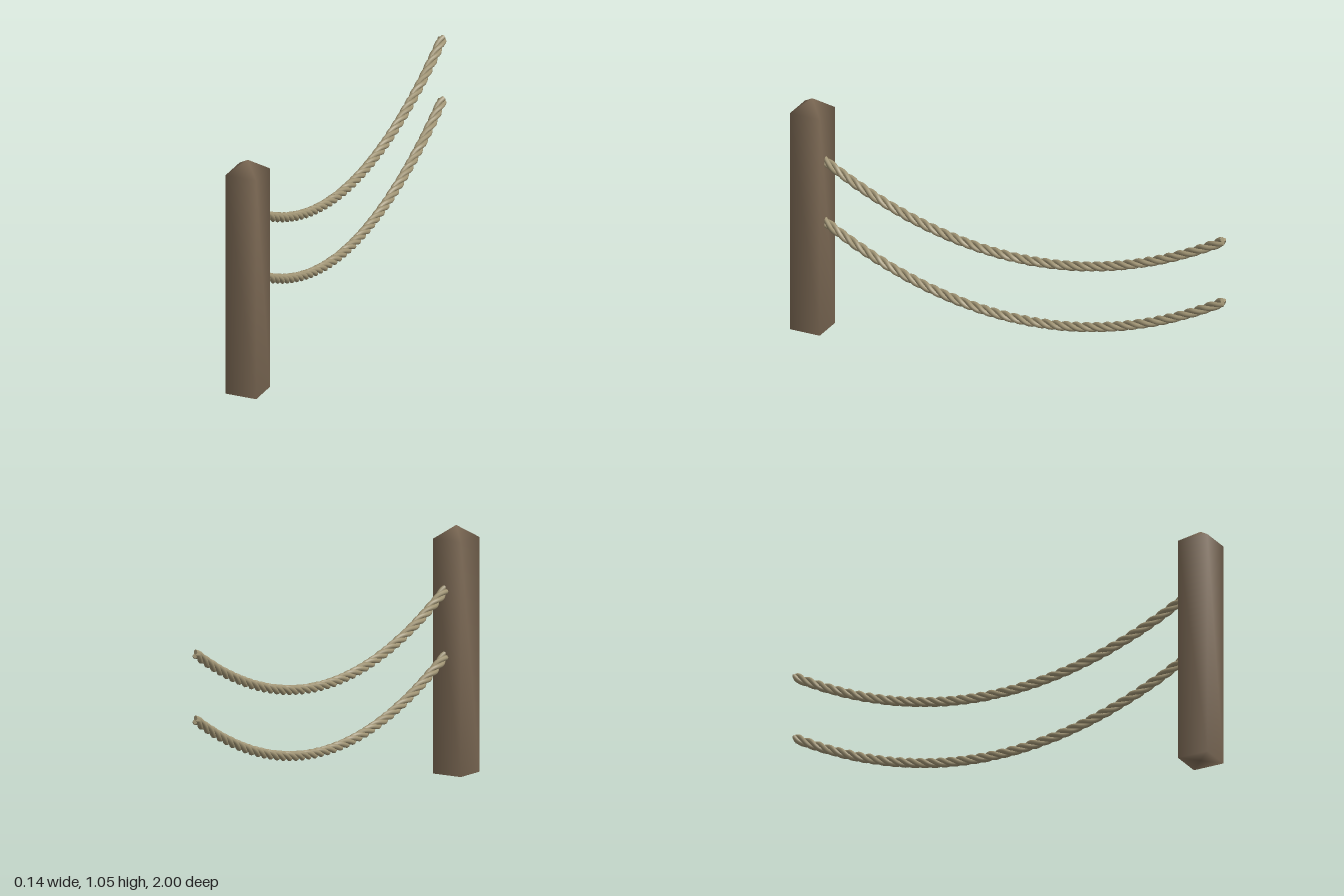
import * as THREE from 'three';
import { mergeVertices } from 'three/addons/utils/BufferGeometryUtils.js';

const ROPE_X = 0.014, MID_Z = -0.035, HALF = 0.965, SAG = 0.29;
const STRANDS = 3, STRAND_R = 0.0105, OFFSET = 0.0112, PITCH = 0.15;

// One strand winding right-handed around a sagging parabola
class StrandCurve extends THREE.Curve {
  constructor(lowY, phase) {
    super();
    this.lowY = lowY;
    this.phase = phase;
    this.arcLengthDivisions = 1500;
  }
  getPoint(t, target = new THREE.Vector3()) {
    const s = 1 - 2 * t; // +1 inside the post, -1 at the free end
    const tangent = new THREE.Vector3(0, -2 * SAG * s, -HALF).normalize();
    const side = new THREE.Vector3(1, 0, 0);
    const up = tangent.clone().cross(side);
    const a = this.phase + (t * 2 * HALF * 1.05 / PITCH) * Math.PI * 2;
    return target.set(ROPE_X, this.lowY + SAG * s * s, MID_Z + HALF * s)
      .addScaledVector(side, OFFSET * Math.cos(a))
      .addScaledVector(up, OFFSET * Math.sin(a));
  }
}

// Keeps the free end cut flush in one vertical plane
function trimEnd(geometry) {
  const p = geometry.attributes.position;
  for (let i = 0; i < p.count; i++) p.setZ(i, Math.max(p.getZ(i), -1));
  return geometry;
}

function makeRope(name, lowY, material) {
  const rope = new THREE.Group();
  rope.name = name;
  for (let i = 0; i < STRANDS; i++) {
    const curve = new StrandCurve(lowY, (i / STRANDS) * Math.PI * 2);
    const strand = new THREE.Mesh(
      trimEnd(new THREE.TubeGeometry(curve, 300, STRAND_R, 8, false)), material);
    strand.name = 'ropeStrand';

    // Cap on the free end
    const cap = new THREE.CircleGeometry(STRAND_R, 8);
    cap.applyQuaternion(new THREE.Quaternion().setFromUnitVectors(
      new THREE.Vector3(0, 0, 1), curve.getTangent(1)));
    const end = curve.getPoint(1);
    cap.translate(end.x, end.y, end.z);
    const capMesh = new THREE.Mesh(trimEnd(cap), material);
    capMesh.name = 'strandEnd';
    rope.add(strand, capMesh);
  }
  return rope;
}

// Square post with a pyramid top and softly shaded corners
function makePost(material) {
  const r = 0.07 * Math.SQRT2;
  const profile = [[0, 0], [r, 0], [r, 0.995], [0, 1.05]].map(([x, y]) => new THREE.Vector2(x, y));
  let geometry = new THREE.LatheGeometry(profile, 4, Math.PI / 4);
  geometry.deleteAttribute('uv');
  geometry.deleteAttribute('normal');
  geometry = mergeVertices(geometry, 1e-4);
  geometry.computeVertexNormals();
  const post = new THREE.Mesh(geometry, material);
  post.name = 'post';
  post.position.z = 0.93;
  return post;
}

export function createModel() {
  const wood = new THREE.MeshStandardMaterial({ color: 0x7d6a55 });
  wood.name = 'brown wood';
  const hemp = new THREE.MeshStandardMaterial({ color: 0xa09474 });
  hemp.name = 'hemp rope';

  const model = new THREE.Group();
  model.name = 'ropeFence';
  model.add(
    makePost(wood),
    makeRope('upperRope', 0.53, hemp),
    makeRope('lowerRope', 0.25, hemp),
  );
  return model;
}
